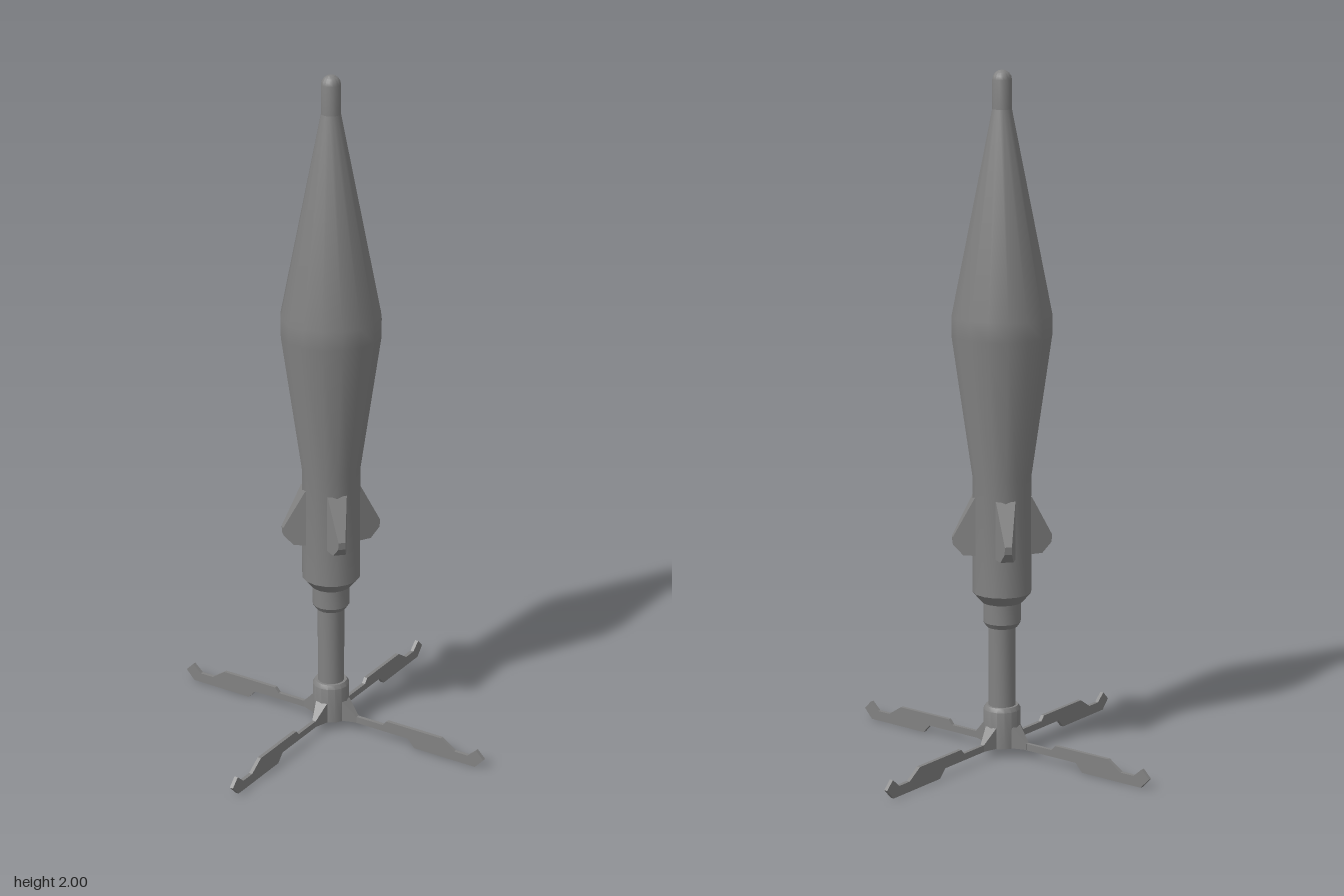
import * as THREE from 'three';
import { toCreasedNormals } from 'three/addons/utils/BufferGeometryUtils.js';

const material = new THREE.MeshStandardMaterial({ color: 0x828282 });
const SIDES = 16;

function addMesh(parent, name, geometry) {
  const mesh = new THREE.Mesh(geometry, material);
  mesh.name = name;
  parent.add(mesh);
  return mesh;
}

// Turned part from [radius, height] pairs, listed bottom to top
function turned(parent, name, profile) {
  const points = profile.map(([r, y]) => new THREE.Vector2(r, y));
  return addMesh(parent, name, toCreasedNormals(new THREE.LatheGeometry(points, SIDES), 0.55));
}

// Radial plate from [radius, height] pairs; halfWidth(r) gives its thickness
function plate(profile, halfWidth) {
  const shape = new THREE.Shape(profile.map(([r, y]) => new THREE.Vector2(r, y)));
  const geometry = new THREE.ExtrudeGeometry(shape, { depth: 2, bevelEnabled: false });
  geometry.translate(0, 0, -1);
  const p = geometry.attributes.position;
  for (let i = 0; i < p.count; i++) p.setZ(i, p.getZ(i) * halfWidth(p.getX(i)));
  geometry.computeVertexNormals();
  return geometry;
}

// Four copies around the vertical axis
function ring(parent, name, geometry, startAngle) {
  const group = new THREE.Group();
  group.name = name + 's';
  for (let i = 0; i < 4; i++) {
    addMesh(group, name, geometry).rotation.y = startAngle + (i * Math.PI) / 2;
  }
  parent.add(group);
}

export function createModel() {
  const model = new THREE.Group();
  model.name = 'finnedRocket';

  // Base hub, shaft and collar
  turned(model, 'hub', [[0, 0.03], [0.055, 0.03], [0.055, 0.14], [0.048, 0.152], [0, 0.152]]);
  turned(model, 'shaft', [[0.04, 0.14], [0.04, 0.41]]);
  turned(model, 'collar', [[0, 0.39], [0.045, 0.39], [0.055, 0.405], [0.055, 0.475]]);

  // Main body with a short straight band at its widest, and the nose
  turned(model, 'body', [
    [0, 0.465], [0.06, 0.465], [0.086, 0.495], [0.086, 0.84],
    [0.145, 1.25], [0.145, 1.305], [0.028, 1.89],
  ]);
  const nose = [[0.028, 1.89], [0.028, 1.972]];
  for (let i = 1; i <= 4; i++) {
    const a = (i * Math.PI) / 8;
    nose.push([i === 4 ? 0 : 0.028 * Math.cos(a), 1.972 + 0.028 * Math.sin(a)]);
  }
  turned(model, 'nose', nose);

  // Wedge fins on the diagonals, narrowing outward
  const fin = plate(
    [[0.07, 0.61], [0.115, 0.61], [0.143, 0.64], [0.145, 0.662], [0.083, 0.78], [0.07, 0.78]],
    (r) => THREE.MathUtils.mapLinear(r, 0.08, 0.145, 0.029, 0.01),
  );
  ring(model, 'bodyFin', fin, Math.PI / 4);

  // Thin tail blades with hooked tips
  const blade = plate(
    [
      [0.03, 0.03], [0.272, 0.03], [0.295, 0.005], [0.5, 0.005],
      [0.528, 0.035], [0.503, 0.06], [0.475, 0.035], [0.43, 0.035], [0.385, 0.065],
      [0.198, 0.065], [0.185, 0.05], [0.03, 0.05],
    ],
    () => 0.0055,
  );
  ring(model, 'tailBlade', blade, 0);

  // Gussets flaring from the blades into the hub
  const gusset = plate(
    [[0.045, 0.031], [0.094, 0.031], [0.094, 0.05], [0.053, 0.093], [0.045, 0.093]],
    (r) => THREE.MathUtils.mapLinear(r, 0.05, 0.094, 0.02, 0.006),
  );
  ring(model, 'bladeGusset', gusset, 0);

  return model;
}
